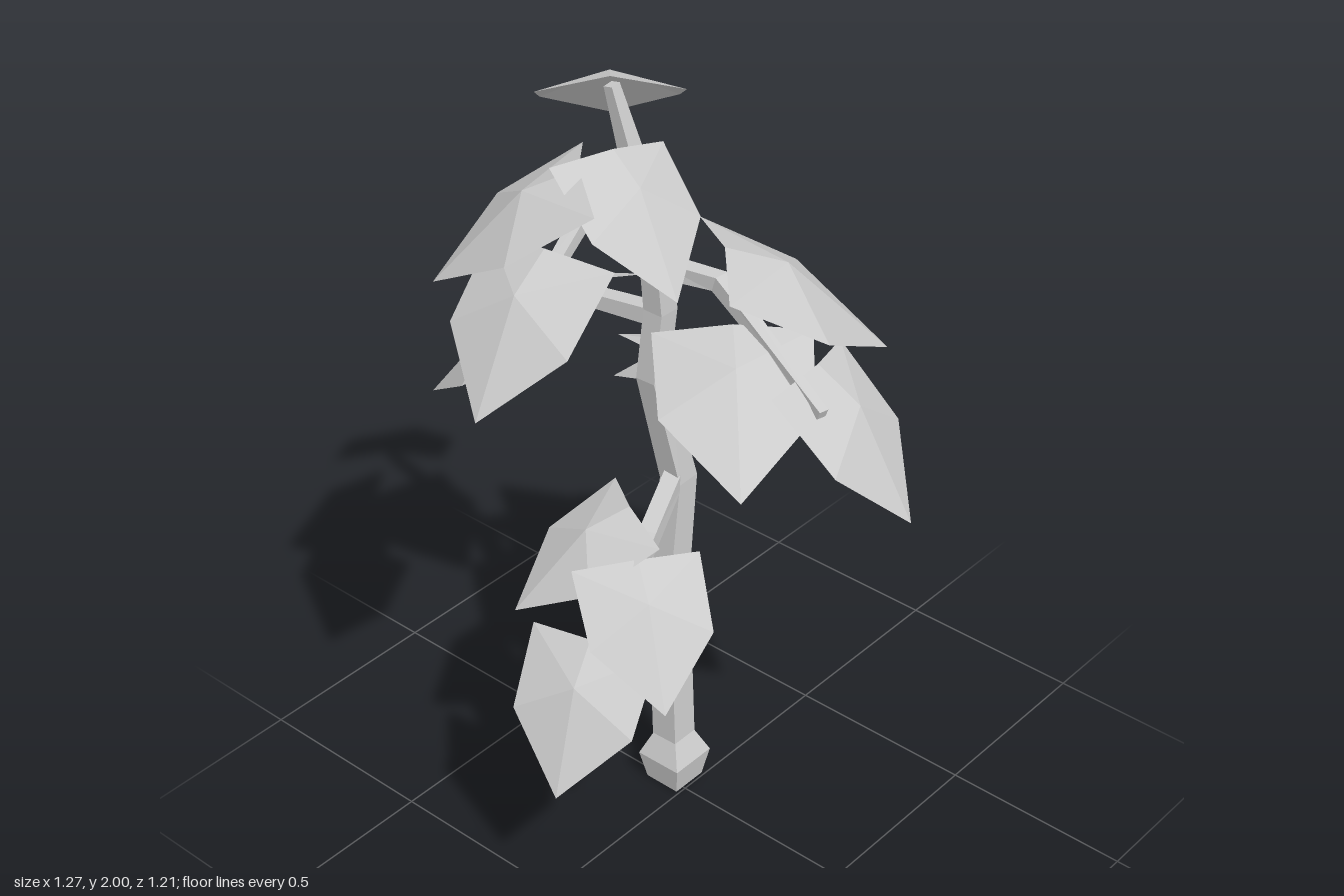
import * as THREE from 'three';

const bark = new THREE.MeshStandardMaterial({ color: 0xcccccc, flatShading: true });
const foliage = new THREE.MeshStandardMaterial({ color: 0xcccccc, flatShading: true, side: THREE.DoubleSide });
const V = (p) => new THREE.Vector3(...p);

function facetedMesh(name, points, index, material) {
  let geometry = new THREE.BufferGeometry().setFromPoints(points);
  geometry.setIndex(index);
  geometry = geometry.toNonIndexed();
  geometry.computeVertexNormals();
  const mesh = new THREE.Mesh(geometry, material);
  mesh.name = name;
  return mesh;
}

// Tapering four-sided limb: stations are [x, y, z, half width]
function limb(name, stations, ref) {
  const centres = stations.map(([x, y, z]) => V([x, y, z]));
  const points = [], index = [], last = stations.length - 1, sides = 4;
  centres.forEach((c, i) => {
    const t = centres[Math.min(i + 1, last)].clone().sub(centres[Math.max(i - 1, 0)]).normalize();
    const a = ref.clone().cross(t).normalize();
    const b = t.clone().cross(a);
    const radius = stations[i][3] * Math.SQRT2;
    for (let k = 0; k < sides; k++) {
      const angle = (k + 0.5) * Math.PI / 2;
      points.push(c.clone()
        .addScaledVector(a, Math.cos(angle) * radius)
        .addScaledVector(b, Math.sin(angle) * radius));
    }
  });
  for (let i = 0; i < last; i++) {
    for (let k = 0; k < sides; k++) {
      const p = i * sides + k, q = i * sides + ((k + 1) % sides);
      index.push(p, q, q + sides, p, q + sides, p + sides);
    }
  }
  // End caps
  const end = last * sides;
  for (let k = 1; k < sides - 1; k++) index.push(0, k + 1, k, end, end + k, end + k + 1);
  return facetedMesh(name, points, index, bark);
}

// Six-cornered leaf folded along its midrib: [across, up, along] for length 1
const LEAF = [
  [0, 0, 0], [0.42, -0.08, 0], [0.4, 0, 0.53], [0, 0, 1],
  [-0.4, 0, 0.53], [-0.42, -0.08, 0], [0, 0.1, 0.3],
];

function leaf(name, base, tip, roll = 0) {
  const root = V(base);
  const along = V(tip).sub(root);
  const length = along.length();
  along.normalize();
  const across = along.clone().cross(V([0, 1, 0])).normalize();
  across.y += roll;
  across.addScaledVector(along, -across.dot(along)).normalize();
  const up = across.clone().cross(along);
  const points = LEAF.map(([s, u, f]) => root.clone()
    .addScaledVector(across, s * length)
    .addScaledVector(up, u * length)
    .addScaledVector(along, f * length));
  const index = [];
  for (let k = 0; k < 6; k++) index.push(k, (k + 1) % 6, 6);
  return facetedMesh(name, points, index, foliage);
}

export function createModel() {
  const plant = new THREE.Group();
  plant.name = 'plant';

  // Bulb and bent trunk
  const Z = V([0, 0, 1]), Y = V([0, 1, 0]);
  plant.add(limb('bulb', [
    [0.025, 0, -0.058, 0.05], [0.025, 0.08, -0.058, 0.065], [0.025, 0.145, -0.06, 0.037],
  ], Z));
  plant.add(limb('trunk', [
    [0.025, 0.13, -0.06, 0.038], [0.03, 0.63, -0.08, 0.037], [0.062, 0.92, -0.075, 0.032],
    [0.005, 1.22, -0.105, 0.028], [0.022, 1.4, -0.095, 0.028], [0.008, 1.63, -0.105, 0.027],
    [-0.025, 1.78, -0.127, 0.022], [-0.05, 1.975, -0.17, 0.013],
  ], Z));

  // Drooping branches
  const branches = {
    lowerRightBranch: [[0.05, 0.93, -0.075, 0.022], [-0.13, 0.88, 0, 0.022], [-0.4, 0.66, 0.065, 0.018]],
    lowerLeftBranch: [[0.01, 1.2, -0.1, 0.022], [0.15, 1.17, -0.13, 0.022], [0.44, 0.91, -0.22, 0.019]],
    frontBranch: [[0, 1.53, -0.095, 0.022], [0.05, 1.52, 0.06, 0.02], [-0.035, 1.36, 0.43, 0.012]],
    backBranch: [[0.025, 1.38, -0.1, 0.022], [0, 1.37, -0.28, 0.02], [-0.03, 1.21, -0.52, 0.012]],
    upperRightBranch: [[-0.015, 1.72, -0.115, 0.02], [-0.15, 1.81, -0.1, 0.019], [-0.4, 1.66, -0.06, 0.014]],
  };
  for (const [name, stations] of Object.entries(branches)) plant.add(limb(name, stations, Y));

  // Leaves: base, tip, roll
  const leaves = {
    crownLeaf: [[-0.06, 2, -0.165], [0.17, 1.757, -0.38]],
    upperFrontLeaf: [[-0.125, 1.87, -0.1], [-0.205, 1.615, 0.155], 0.2],
    upperRightLeaf: [[-0.365, 1.73, -0.085], [-0.634, 1.43, -0.047], -0.1],
    upperBackLeaf: [[-0.215, 1.85, -0.12], [-0.454, 1.587, -0.346]],
    frontLeftLeaf: [[0.055, 1.61, 0.07], [0.35, 1.31, 0.32]],
    frontTipLeaf: [[0.06, 1.41, 0.34], [0.085, 1.08, 0.6], 0.25],
    frontRightLeaf: [[-0.01, 1.47, 0.15], [-0.278, 1.233, 0.4]],
    backTipLeaf: [[-0.11, 1.35, -0.37], [-0.234, 1.085, -0.607]],
    backInnerLeaf: [[-0.025, 1.43, -0.275], [0.06, 1.222, -0.56]],
    lowerLeftTipLeaf: [[0.44, 0.99, -0.25], [0.634, 0.667, -0.352]],
    lowerLeftBackLeaf: [[0.295, 1.13, -0.18], [0.41, 0.89, -0.505]],
    lowerLeftInnerLeaf: [[0.1, 1.21, -0.165], [0.46, 1.03, -0.05]],
    lowerRightTipLeaf: [[-0.395, 0.75, 0.05], [-0.59, 0.425, 0.11]],
    lowerRightFrontLeaf: [[-0.26, 0.92, 0.08], [-0.4, 0.65, 0.285]],
    lowerRightBackLeaf: [[-0.165, 0.97, -0.03], [-0.42, 0.74, -0.17]],
  };
  for (const [name, args] of Object.entries(leaves)) plant.add(leaf(name, ...args));

  return plant;
}
